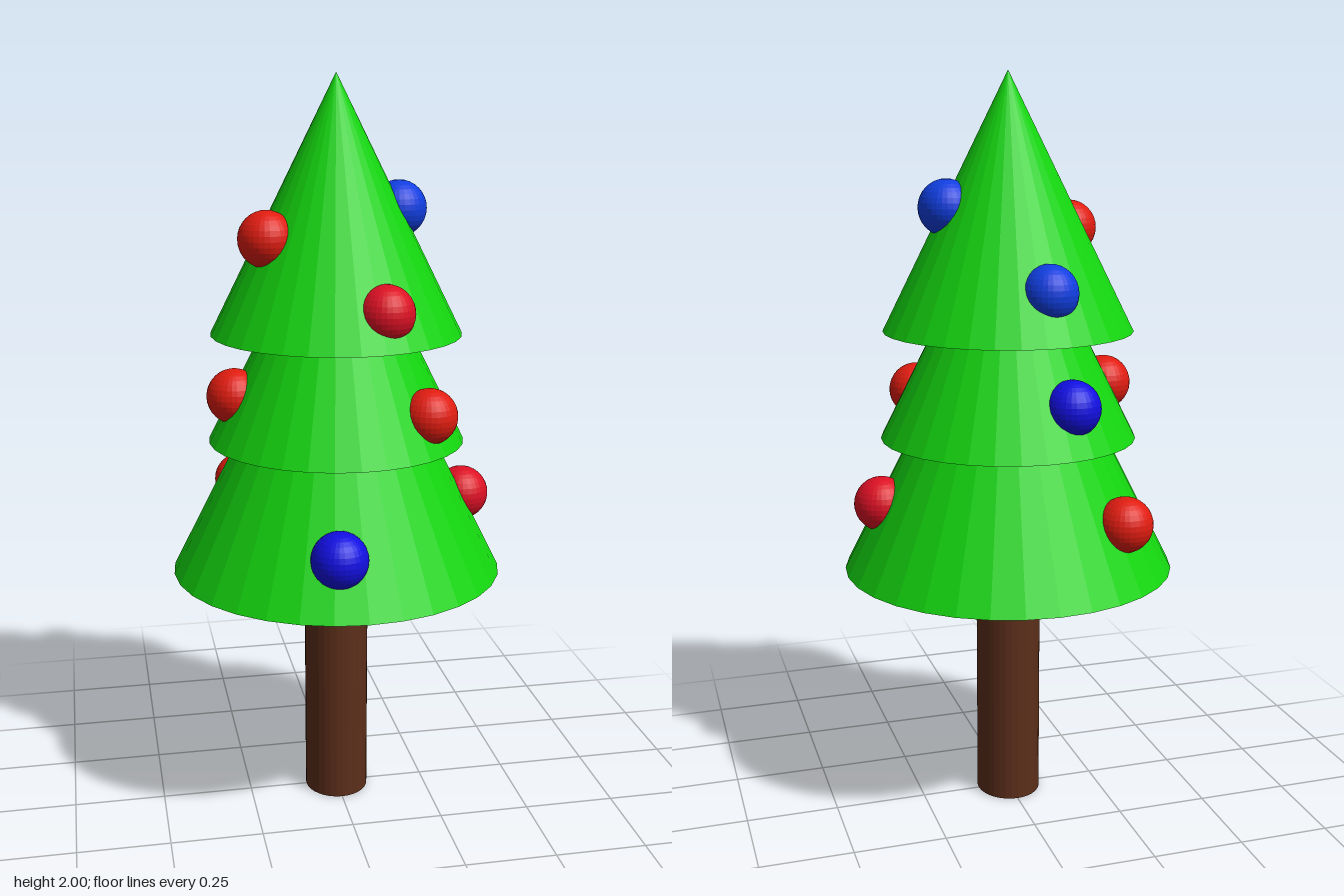
import * as THREE from 'three';

export function createModel() {
  const tree = new THREE.Group();
  tree.name = 'decoratedTree';

  const material = (color) => new THREE.MeshStandardMaterial({ color, flatShading: true });
  const add = (name, geometry, mat, x, y, z) => {
    const mesh = new THREE.Mesh(geometry, mat);
    mesh.name = name;
    mesh.position.set(x, y, z);
    tree.add(mesh);
    return mesh;
  };

  // Trunk: slightly oval, reaching up into the lowest tier
  const trunk = add('trunk', new THREE.CylinderGeometry(1, 1, 0.8, 32), material(0x5c2e1a), 0, 0.4, 0);
  trunk.scale.set(0.088, 1, 0.095);

  // Foliage tiers: overlapping closed cones [name, base y, radius, height]
  const green = material(0x14d60f);
  const tiers = [
    ['lowerTier', 0.675, 0.45, 0.89],
    ['middleTier', 1.04, 0.345, 0.69],
    ['upperTier', 1.33, 0.335, 0.67],
  ];
  for (const [name, base, radius, height] of tiers) {
    add(name, new THREE.ConeGeometry(radius, height, 32), green, 0, base + height / 2, 0);
  }

  // Baubles half sunk into the foliage [colour, x, y, z]
  const colors = {
    red: material(0xe01c10),
    crimson: material(0xdc1024),
    blue: material(0x103ee0),
    deepBlue: material(0x120fe0),
  };
  const ball = new THREE.SphereGeometry(0.074, 32, 16);
  const baubles = [
    ['red', -0.195, 1.59, 0.075],
    ['blue', 0.167, 1.655, 0],
    ['crimson', 0.08, 1.42, 0.25],
    ['blue', -0.035, 1.455, -0.243],
    ['red', -0.277, 1.17, 0.01],
    ['red', 0.207, 1.14, 0.207],
    ['deepBlue', -0.095, 1.16, -0.255],
    ['deepBlue', -0.06, 0.82, 0.365],
    ['crimson', 0.35, 0.87, 0.02],
    ['red', -0.23, 0.85, -0.293],
  ];
  for (const [color, x, y, z] of baubles) add(color + 'Bauble', ball, colors[color], x, y, z);

  return tree;
}
